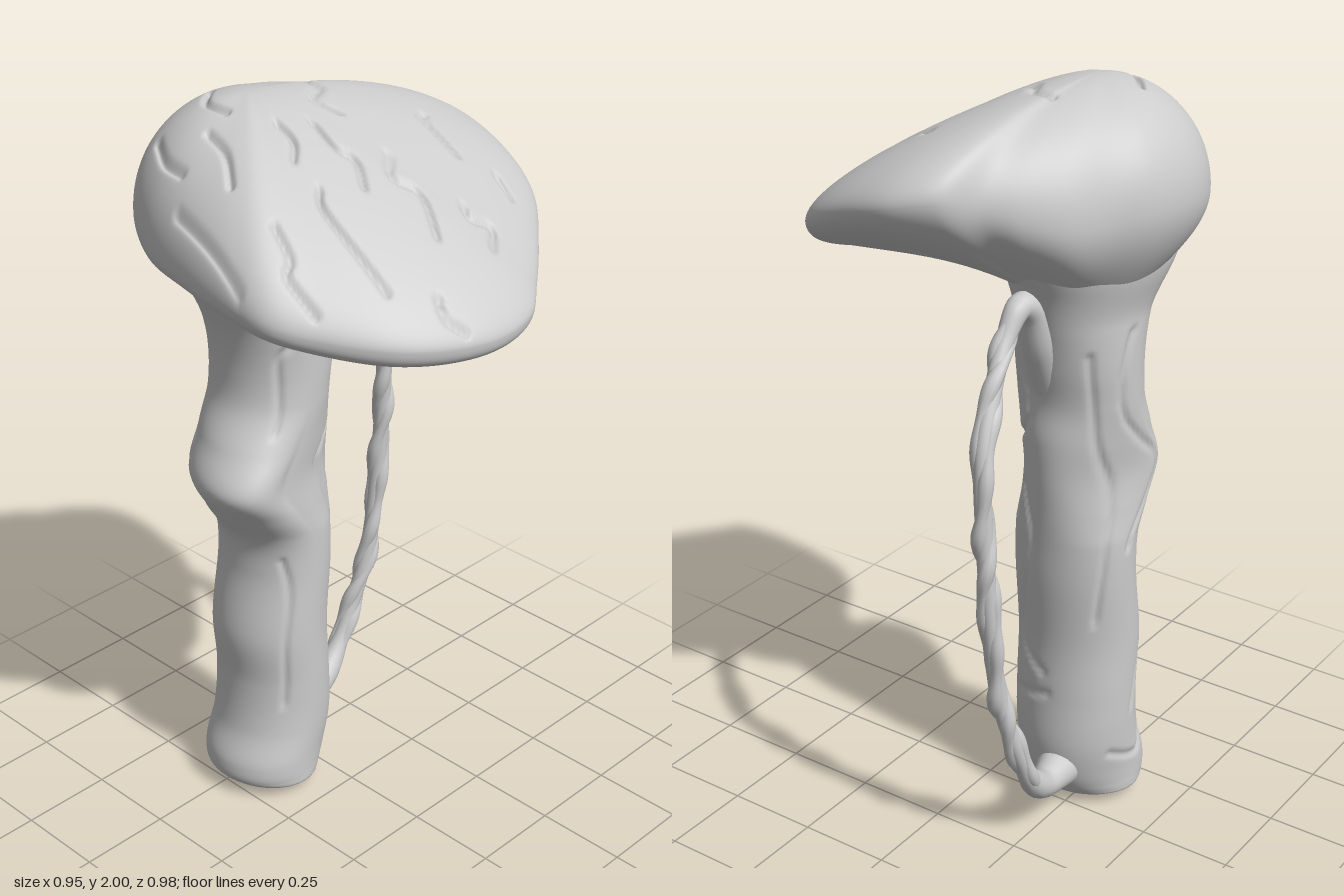
import * as THREE from 'three';

const V = (x, y, z) => new THREE.Vector3(x, y, z);
const { clamp, lerp, smoothstep } = THREE.MathUtils;
const material = new THREE.MeshStandardMaterial({ color: 0xcccccc });

// Smooth surface closed around u, open along v
function surface(name, nu, nv, point) {
  const pos = [], index = [];
  for (let j = 0; j <= nv; j++)
    for (let i = 0; i < nu; i++) pos.push(...point(i / nu, j / nv).toArray());
  for (let j = 0; j < nv; j++)
    for (let i = 0; i < nu; i++) {
      const k = (i + 1) % nu, a = j * nu + i, b = j * nu + k, c = a + nu, d = b + nu;
      index.push(a, c, b, b, c, d);
    }
  const geo = new THREE.BufferGeometry();
  geo.setAttribute('position', new THREE.Float32BufferAttribute(pos, 3));
  geo.setIndex(index);
  geo.computeVertexNormals();
  const mesh = new THREE.Mesh(geo, material);
  mesh.name = name;
  return mesh;
}

// Rounds the corners of the crack lines
const rounded = lines => lines.map(line =>
  new THREE.SplineCurve(line.map(p => new THREE.Vector2(...p))).getPoints(10).map(p => p.toArray()));

// Groove strength (0..1) near a set of polylines
function groove(lines, x, y, width, sx = 1) {
  let best = 1;
  for (const line of lines)
    for (let i = 0; i + 1 < line.length; i++) {
      const [ax, ay] = line[i], [bx, by] = line[i + 1];
      const dx = (bx - ax) * sx, dy = by - ay, px = (x - ax) * sx, py = y - ay;
      const t = clamp((px * dx + py * dy) / (dx * dx + dy * dy), 0, 1);
      best = Math.min(best, Math.hypot(px - t * dx, py - t * dy));
    }
  return Math.exp(-((best / width) ** 2));
}

// Cracks on the cap as x, z
const capCracks = rounded([
  [[-.32, -.33], [-.36, -.26], [-.37, -.19]],
  [[-.155, -.325], [-.22, -.265], [-.22, -.195]],
  [[-.285, -.19], [-.3, -.115], [-.345, -.05]],
  [[.05, -.21], [.045, -.155], [-.015, -.115], [.01, -.055]],
  [[-.16, -.09], [-.16, -.035], [-.195, 0]],
  [[-.08, -.05], [-.085, .025], [-.06, .07], [-.095, .13]],
  [[-.42, -.155], [-.44, -.03], [-.465, .1]],
  [[-.34, .085], [-.355, .15], [-.385, .17], [-.375, .25]],
  [[-.195, .085], [-.22, .13], [-.215, .32]],
  [[.035, .085], [-.01, .14], [.03, .195], [-.015, .29]],
  [[.24, .01], [.22, .03], [.22, .14]],
  [[.29, .205], [.285, .26]],
  [[.12, .25], [.11, .28], [.155, .31], [.11, .355]],
  [[-.115, .385], [-.125, .42], [-.095, .455]],
]);

// Wrinkles on the stalk as angle, height
const stalkCracks = rounded([
  [[.4, 1.45], [.65, 1.3], [.37, 1.2], [.6, 1.1], [1.0, 1.05], [.9, .9], [.8, .7]],
  [[.6, .95], [.3, .83], [.45, .7], [.65, .5], [.1, .42]],
  [[.7, .33], [0, .36]],
  [[-.7, 1.35], [-.75, 1.1], [-1, .85], [-.8, .6]],
  [[2, 1.38], [2.25, 1.33], [2.2, 1.15]],
  [[2.3, .75], [2.1, .6], [2.2, .3]],
  [[-1.4, 1.4], [-1.2, 1.2], [-1.6, 1], [-1.5, .8]],
  [[-2.2, 1.1], [-2, .9], [-2.2, .7]],
  [[-2, .45], [-1.7, .3]],
  [[-2.2, .2], [-1.7, .14], [-1.1, .18]],
]);

// Lopsided cap: apex, rim, then the hollow underside back to the stalk
function makeCap() {
  const rim = new THREE.CatmullRomCurve3([
    [-.13, 1.73, -.495], [0, 1.73, -.47], [.1, 1.72, -.415], [.2, 1.72, -.36], [.28, 1.75, -.285],
    [.34, 1.78, -.215], [.43, 1.81, -.15], [.475, 1.795, -.05], [.46, 1.755, .1], [.41, 1.7, .23],
    [.3, 1.64, .34], [.2, 1.59, .42], [.12, 1.56, .475], [.02, 1.545, .49], [-.1, 1.545, .47],
    [-.25, 1.56, .4], [-.38, 1.59, .28], [-.46, 1.62, .18], [-.475, 1.64, .08], [-.46, 1.66, -.1],
    [-.42, 1.68, -.28], [-.35, 1.71, -.4], [-.25, 1.72, -.47],
  ].map(p => V(...p)), true);
  const apex = V(-.13, 2, -.22), nu = 320, topShare = .66, soft = .2;
  const edge = rim.getSpacedPoints(nu);
  return surface('cap', nu, 130, (u, v) => {
    const e = edge[Math.round(u * nu)], t = 1 - v;
    const dx = e.x - apex.x, dz = e.z - apex.z, front = dz / Math.hypot(dx, dz);
    if (t <= topShare) {
      // Domed at the back and right, a straighter slope at the front
      const a = t / topShare, s = Math.sin(a * Math.PI / 2);
      const w = .25 + .75 * Math.sin(Math.min(1, (1 - front) / 1.5) * Math.PI / 2);
      const slope = 1 - (Math.hypot(s, soft) - soft) / (Math.hypot(1, soft) - soft);
      const h = lerp(slope, Math.cos(a * Math.PI / 2), w);
      const p = V(apex.x + dx * s, lerp(e.y, apex.y, h), apex.z + dz * s);
      p.y -= .015 * groove(capCracks, p.x, p.z, .008);
      return p;
    }
    const b = (t - topShare) / (1 - topShare);
    const angle = Math.atan2(e.z + .22, e.x + .08);
    const end = V(-.08 + .17 * Math.cos(angle), 1.5, -.22 + .155 * Math.sin(angle));
    const inner = e.clone().lerp(end, .6).setY(1.56 + .06 * smoothstep(front, -.5, .3));
    const lip = V(e.x, e.y - .09 - .05 * Math.max(0, front) ** 4, e.z);
    const p = new THREE.CubicBezierCurve3(e, lip, inner, end).getPoint(b);
    // Sparse radial gills under the front overhang
    const gill = smoothstep(Math.sin(angle * 16), .7, 1) * smoothstep(dz, -.1, .2);
    p.y += .01 * gill * smoothstep(b, .4, .55) * (1 - smoothstep(b, .75, .9));
    return p;
  });
}

// Stalk: left edge, height, right edge; the core leans out into a knob
function makeStalk() {
  const profile = new THREE.CatmullRomCurve3([
    [-.12, 0, -.12], [-.2, .012, -.03], [-.28, .045, .01], [-.287, .1, .04], [-.252, .2, .06],
    [-.235, .35, .055], [-.245, .5, .05], [-.212, .7, .062], [-.22, .8, .065], [-.285, .9, .07],
    [-.342, 1, .075], [-.29, 1.1, .075], [-.235, 1.2, .065], [-.225, 1.3, .08],
    [-.24, 1.4, .1], [-.28, 1.5, .13], [-.32, 1.58, .17],
  ].map(p => V(...p)));
  return surface('stalk', 120, 190, (u, v) => {
    const row = profile.getPoint(v), angle = (u - .5) * Math.PI * 2;
    const c = Math.cos(angle), s = Math.sin(angle), width = row.z - row.x;
    const cx = row.x + Math.min(.15, width / 2);
    const depth = .166 * Math.min(1, width / .27) + .035 * smoothstep(row.y, 1.42, 1.58);
    const k = 1 - .05 * groove(stalkCracks, angle, row.y, .01, .17);
    const lean = .06 * Math.exp(-(((row.y - 1) / .13) ** 2)) * Math.max(0, -c);
    return V(cx + k * c * (c > 0 ? row.z - cx : cx - row.x), row.y, -.22 + k * s * depth + lean);
  });
}

// Tube whose radius varies along its path
function taperedTube(name, path, nu, nv, radius) {
  const frames = path.computeFrenetFrames(nv, false);
  return surface(name, nu, nv, (u, v) => {
    const j = Math.round(v * nv), a = u * Math.PI * 2, r = radius(v);
    return path.getPointAt(v)
      .addScaledVector(frames.normals[j], Math.cos(a) * r)
      .addScaledVector(frames.binormals[j], -Math.sin(a) * r);
  });
}

// Vine handle: two loosely twisted strands over smooth rooted ends
function makeHandle() {
  const group = new THREE.Group();
  group.name = 'vineHandle';
  const path = new THREE.CatmullRomCurve3([
    [.0, 1.2, -.2], [.065, 1.36, -.2], [.115, 1.47, -.2], [.165, 1.495, -.2], [.225, 1.43, -.2],
    [.3, 1.32, -.215], [.36, 1.19, -.23], [.37, 1, -.24], [.36, .75, -.25], [.325, .5, -.255],
    [.27, .32, -.27], [.2, .19, -.27], [.13, .135, -.26], [.06, .13, -.25], [-.05, .13, -.23],
  ].map(p => V(...p)));
  group.add(taperedTube('vineCore', path, 20, 160, v =>
    .022 + .03 * (1 - smoothstep(v, .08, .24)) + .016 * smoothstep(v, .82, .9) + .025 * smoothstep(v, .9, .98)));

  const n = 200, frames = path.computeFrenetFrames(n, false);
  for (const phase of [0, Math.PI]) {
    const pts = [];
    for (let i = 36; i <= 182; i++) {
      const a = phase + i * .13 + .6 * Math.sin(i * .13);
      pts.push(path.getPointAt(i / n)
        .addScaledVector(frames.normals[i], .013 * Math.cos(a))
        .addScaledVector(frames.binormals[i], .015 * Math.sin(a)));
    }
    group.add(taperedTube('vineStrand', new THREE.CatmullRomCurve3(pts), 10, 260, v =>
      (.018 + .003 * Math.sin(v * 60 + phase)) * Math.sqrt(Math.max(0, 1 - (2 * v - 1) ** 12))));
  }
  return group;
}

export function createModel() {
  const model = new THREE.Group();
  model.name = 'mushroomWithVineHandle';
  model.add(makeCap(), makeStalk(), makeHandle());
  return model;
}
